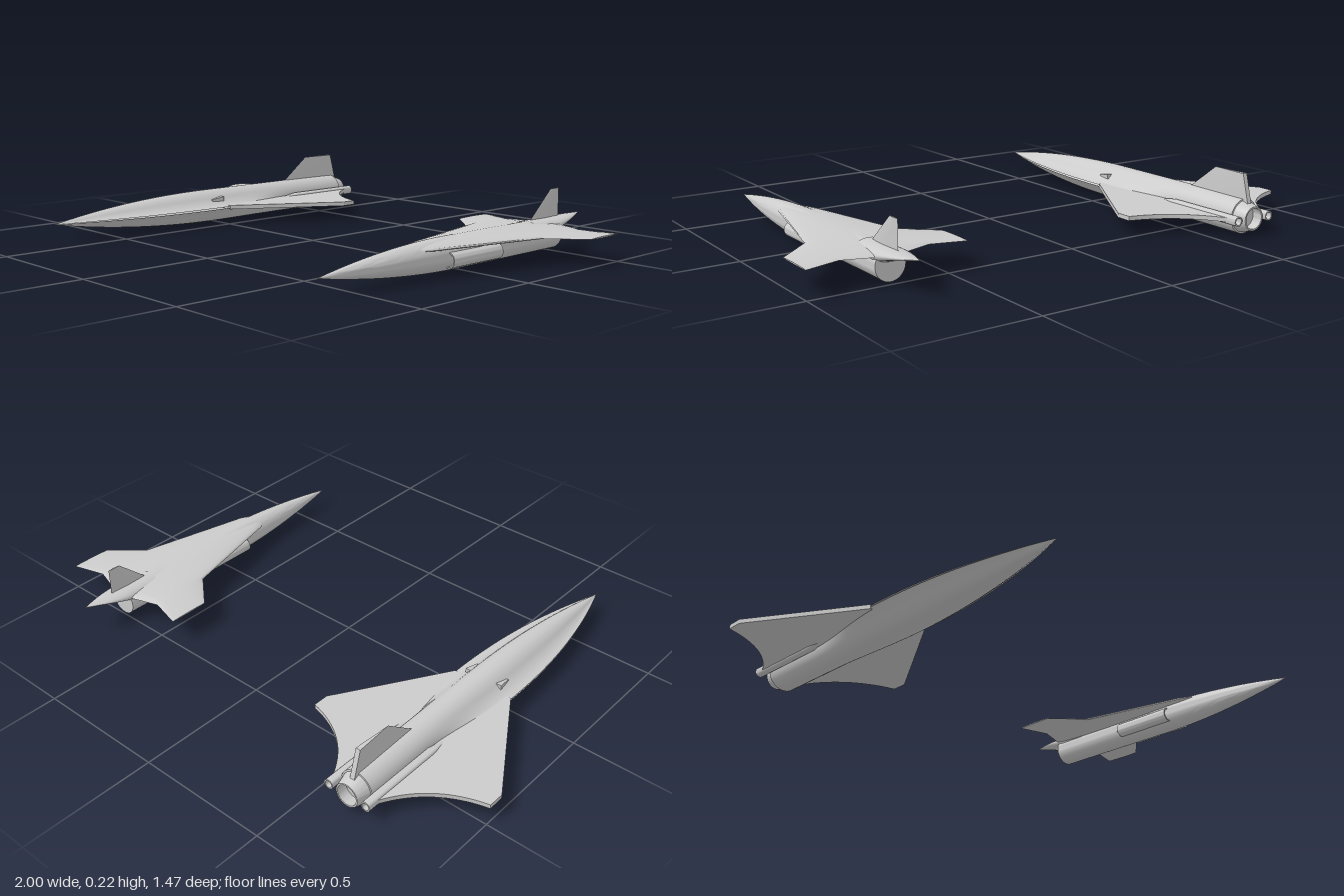
import * as THREE from 'three';
import { toCreasedNormals } from 'three/addons/utils/BufferGeometryUtils.js';

const grey = new THREE.MeshStandardMaterial({ color: 0xcccccc, side: THREE.DoubleSide });
const lerp = THREE.MathUtils.lerp;

function add(parent, name, geometry, x = 0, y = 0, z = 0) {
  const mesh = new THREE.Mesh(geometry, grey);
  mesh.name = name;
  mesh.position.set(x, y, z);
  parent.add(mesh);
  return mesh;
}

// Skin over a row of equal-length rings of [x, y, z] points
function loft(rings, closed = true, crease = 0) {
  const n = rings[0].length, index = [];
  for (let i = 0; i < rings.length - 1; i++) {
    for (let j = 0; j < (closed ? n : n - 1); j++) {
      const k = (j + 1) % n;
      const a = i * n + j, b = i * n + k, c = a + n, d = b + n;
      index.push(a, c, b, b, c, d);
    }
  }
  const g = new THREE.BufferGeometry();
  g.setAttribute('position', new THREE.Float32BufferAttribute(rings.flat(2), 3));
  g.setIndex(index);
  g.computeVertexNormals();
  return crease ? toCreasedNormals(g, crease) : g;
}

// Turned part along z; profile of [radius, z] from the rear forwards
function turned(profile, sides = 40) {
  const g = new THREE.LatheGeometry(profile.map(([r, z]) => new THREE.Vector2(r, z)), sides);
  return toCreasedNormals(g.rotateX(Math.PI / 2), 0.6);
}

// Collapse a ring to its middle, to close an end
function capOf(ring) {
  const mid = [0, 1, 2].map(i => ring.reduce((s, p) => s + p[i], 0) / ring.length);
  return ring.map(() => mid);
}

// Upright fin, wedge or diamond in section; each level is [y, leadZ, trailZ]
function fin(levels, half, wedge) {
  const rings = levels.map(([y, lead, trail]) => wedge
    ? [[0, y, lead], [-half, y, trail], [half, y, trail]]
    : [[0, y, lead], [-half, y, (lead + trail) / 2], [0, y, trail], [half, y, (lead + trail) / 2]]);
  return loft([...rings, capOf(rings[rings.length - 1])], true, 0.2);
}

// Chined hull that changes from a bell section at the front to a tube at the rear
function hullSkin(isTop) {
  const bell = new THREE.SplineCurve((isTop
    ? [[1, 0.06], [0.78, 0.16], [0.57, 0.4], [0.4, 0.72], [0.2, 0.94], [0, 1]]
    : [[1, -0.03], [0.8, -0.3], [0.6, -0.62], [0.42, -0.86], [0.22, -0.98], [0, -1]]
  ).map(p => new THREE.Vector2(...p)));
  const N = 14, rings = [];
  for (let i = 0; i <= 44; i++) {
    const z = i <= 24 ? 0.73 * Math.cos(i / 24 * Math.PI / 2) : -0.69 * (i - 24) / 20;
    const s = Math.max(0.001, 1 - Math.pow(Math.max(z, 0) / 0.73, 2.1));
    const k = THREE.MathUtils.smoothstep(-z, 0, 0.42);
    const half = [];
    for (let j = 0; j <= N; j++) {
      const b = bell.getPoint(j / N), a = j / N * Math.PI / 2;
      const x = lerp(b.x * 0.118, Math.cos(a) * 0.064, k) * s;
      const y = lerp(b.y, Math.sin(a) * (isTop ? 1 : -1), k) * 0.064 * s;
      half.push([x, 0.068 + y, z]);
    }
    const other = half.slice(0, -1).reverse().map(([x, y, zz]) => [-x, y, zz]);
    const ring = [...half, ...other];
    rings.push(isTop ? ring : ring.reverse());
  }
  return loft(rings, false);
}

// Larger craft: chined hull, broad wing, side boosters
function buildLargeCraft() {
  const craft = new THREE.Group();
  craft.name = 'largeCraft';
  add(craft, 'hullTop', hullSkin(true));
  add(craft, 'hullBottom', hullSkin(false));

  const wing = new THREE.Shape();
  wing.moveTo(0, 0.02);
  wing.lineTo(0.118, 0.02);
  wing.lineTo(0.365, 0.425);
  wing.lineTo(0.365, 0.485);
  wing.quadraticCurveTo(0.17, 0.53, 0.085, 0.71);
  wing.lineTo(0.06, 0.68);
  wing.lineTo(-0.06, 0.68);
  wing.lineTo(-0.085, 0.71);
  wing.quadraticCurveTo(-0.17, 0.53, -0.365, 0.485);
  wing.lineTo(-0.365, 0.425);
  wing.lineTo(-0.118, 0.02);
  const slab = new THREE.ExtrudeGeometry(wing, { depth: 0.016, bevelEnabled: false, curveSegments: 20 });
  // Shape y runs towards the tail
  add(craft, 'wing', slab.rotateX(Math.PI / 2).scale(1, 1, -1).rotateZ(Math.PI), 0, 0.06, 0);

  add(craft, 'tailFin', fin([[0.11, -0.39, -0.715], [0.224, -0.54, -0.685]], 0.009, true));
  add(craft, 'nozzle', turned([
    [0, -0.695], [0.042, -0.695], [0.038, -0.738], [0.044, -0.738], [0.058, -0.69], [0.064, -0.689], [0.064, -0.68],
  ]), 0, 0.068, 0);

  for (const side of [-1, 1]) {
    // Booster with a long tapered front fairing
    add(craft, 'sideBooster', turned([
      [0, -0.715], [0.013, -0.715], [0.013, -0.738], [0.018, -0.738], [0.018, -0.41], [0.013, -0.38], [0.001, -0.3],
    ], 24), side * 0.076, 0.068, 0);
    // Small scoop on the shoulder
    const back = [[0.012, -0.008, -0.02], [0.012, 0.01, -0.02], [-0.012, 0.01, -0.02], [-0.012, -0.008, -0.02]];
    const front = back.map(([x, y]) => [x * 0.4, Math.min(y, 0.001), 0.035]);
    add(craft, 'shoulderScoop', loft([capOf(front), front, back, capOf(back)], true, 0.3), side * 0.063, 0.098, 0);
  }
  return craft;
}

// Smaller craft: round body, cranked wing with long strakes
function buildSmallCraft() {
  const craft = new THREE.Group();
  craft.name = 'smallCraft';
  const body = [[0, -0.5], [0.055, -0.5]];
  for (let i = 0; i <= 24; i++) {
    const t = i / 24;
    body.push([0.001 + 0.056 * (1 - Math.pow(t, 1.9)), 0.05 + 0.59 * t]);
  }
  add(craft, 'body', turned(body), 0, 0.068, 0);

  // Pointed tail fairing sweeping up above the engine disc
  const tail = [];
  for (let i = 0; i <= 16; i++) {
    const z = lerp(-0.36, -0.675, i / 16);
    const t = Math.max(0, (-0.48 - z) / 0.195);
    const w = Math.max(0.0005, 0.054 * (1 - Math.pow(t, 1.6)));
    const low = lerp(0.07, 0.123, Math.pow(t, 0.8)), high = 0.125;
    const ring = [];
    for (let j = 0; j < 24; j++) {
      const a = j / 24 * Math.PI * 2;
      ring.push([w * Math.cos(a), (low + high) / 2 + (high - low) / 2 * Math.sin(a), z]);
    }
    tail.push(ring);
  }
  add(craft, 'tailFairing', loft(tail));

  // Wing stations: span, leading z, trailing z, middle y, rise, drop
  const half = [
    [0, 0.3, -0.5, 0.1, 0.026, 0.012], [0.055, 0.2, -0.5, 0.1, 0.021, 0.011],
    [0.16, -0.23, -0.465, 0.1, 0.011, 0.005], [0.286, -0.34, -0.5, 0.1, 0.003, 0.002],
  ];
  const stations = [...half.slice(1).reverse().map(s => [-s[0], ...s.slice(1)]), ...half];
  const N = 12;
  const rings = stations.map(([x, lead, trail, y, rise, drop]) => {
    const ring = [];
    for (let j = 0; j < 2 * N; j++) {
      const a = j / N * Math.PI;
      const bulge = Math.sin(a);
      ring.push([x, y + bulge * (bulge > 0 ? rise : drop), lerp(lead, trail, (1 - Math.cos(a)) / 2)]);
    }
    return ring;
  });
  add(craft, 'wing', loft([capOf(rings[0]), ...rings, capOf(rings[rings.length - 1])], true, 0.5));

  add(craft, 'tailFin', fin([[0.11, -0.37, -0.55], [0.226, -0.5, -0.55]], 0.003, false));

  // Side nacelles with open fronts and short tail cones
  for (const side of [-1, 1]) {
    add(craft, 'sideNacelle', turned([
      [0, -0.162], [0.027, -0.14], [0.027, 0.11], [0.023, 0.11], [0.021, 0.07], [0, 0.07],
    ], 28), side * 0.05, 0.056, 0);
  }
  return craft;
}

export function createModel() {
  const model = new THREE.Group();
  model.name = 'aircraftPair';
  const large = buildLargeCraft();
  large.position.x = -0.635;
  const small = buildSmallCraft();
  small.position.x = 0.713;
  model.add(large, small);
  return model;
}
